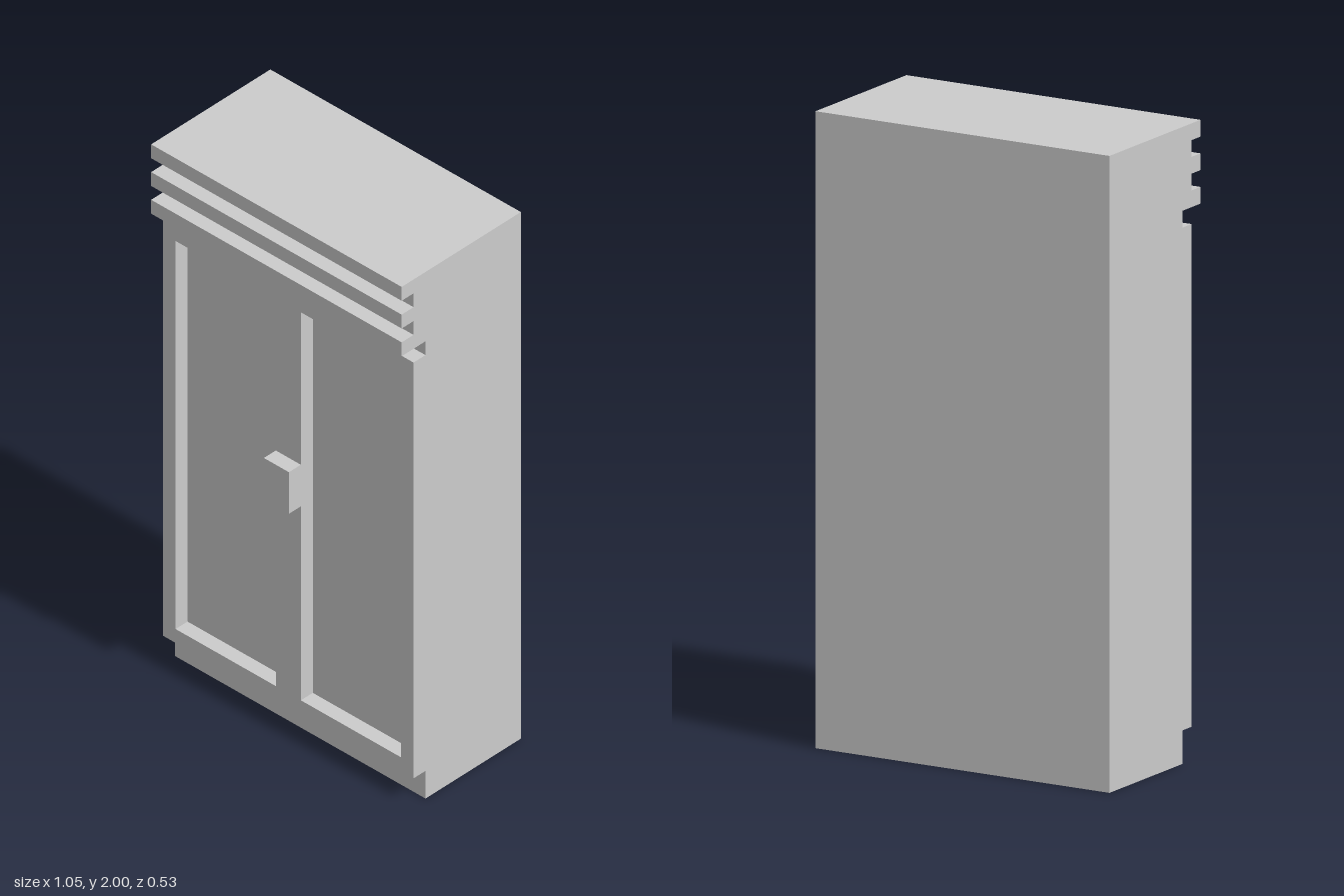
import * as THREE from 'three';

// Everything sits on a grid of 1/19 unit: 20 wide, 38 high, 10 deep
const U = 1 / 19;

const toVectors = (points) => points.map(([a, b]) => new THREE.Vector2(a * U, b * U));

const rectangle = (x0, y0, x1, y1) => toVectors([[x0, y0], [x1, y0], [x1, y1], [x0, y1]]);

const extrude = (shape, depth) =>
  new THREE.ExtrudeGeometry(shape, { depth: depth * U, bevelEnabled: false });

export function createModel() {
  const group = new THREE.Group();
  const material = new THREE.MeshStandardMaterial({ color: 0xcccccc, flatShading: true });
  const add = (name, geometry) => {
    const mesh = new THREE.Mesh(geometry, material);
    mesh.name = name;
    group.add(mesh);
  };

  // Carcass: side profile (z, y) with the stepped cornice, swept across the width
  const profile = [[-5, 0], [3, 0], [3, 33]];
  for (const y of [33, 35, 37]) {
    profile.push([5, y], [5, y + 1]);
    if (y < 37) profile.push([4, y + 1], [4, y + 2]);
  }
  profile.push([-5, 38]);
  const carcass = extrude(new THREE.Shape(toVectors(profile)), 20);
  carcass.rotateY(-Math.PI / 2).translate(10 * U, 0, 0);
  add('carcass', carcass);

  // Door frame with two openings that leave the panels recessed
  const frame = new THREE.Shape(rectangle(-10, 2, 10, 32));
  for (const x of [-9, 1]) frame.holes.push(new THREE.Path(rectangle(x, 3, x + 8, 31)));
  add('doorFrame', extrude(frame, 1).translate(0, 0, 3 * U));

  // Handle block at the middle of the frame
  add('handle', new THREE.BoxGeometry(2 * U, 3 * U, U).translate(0, 18.5 * U, 4.5 * U));

  return group;
}
